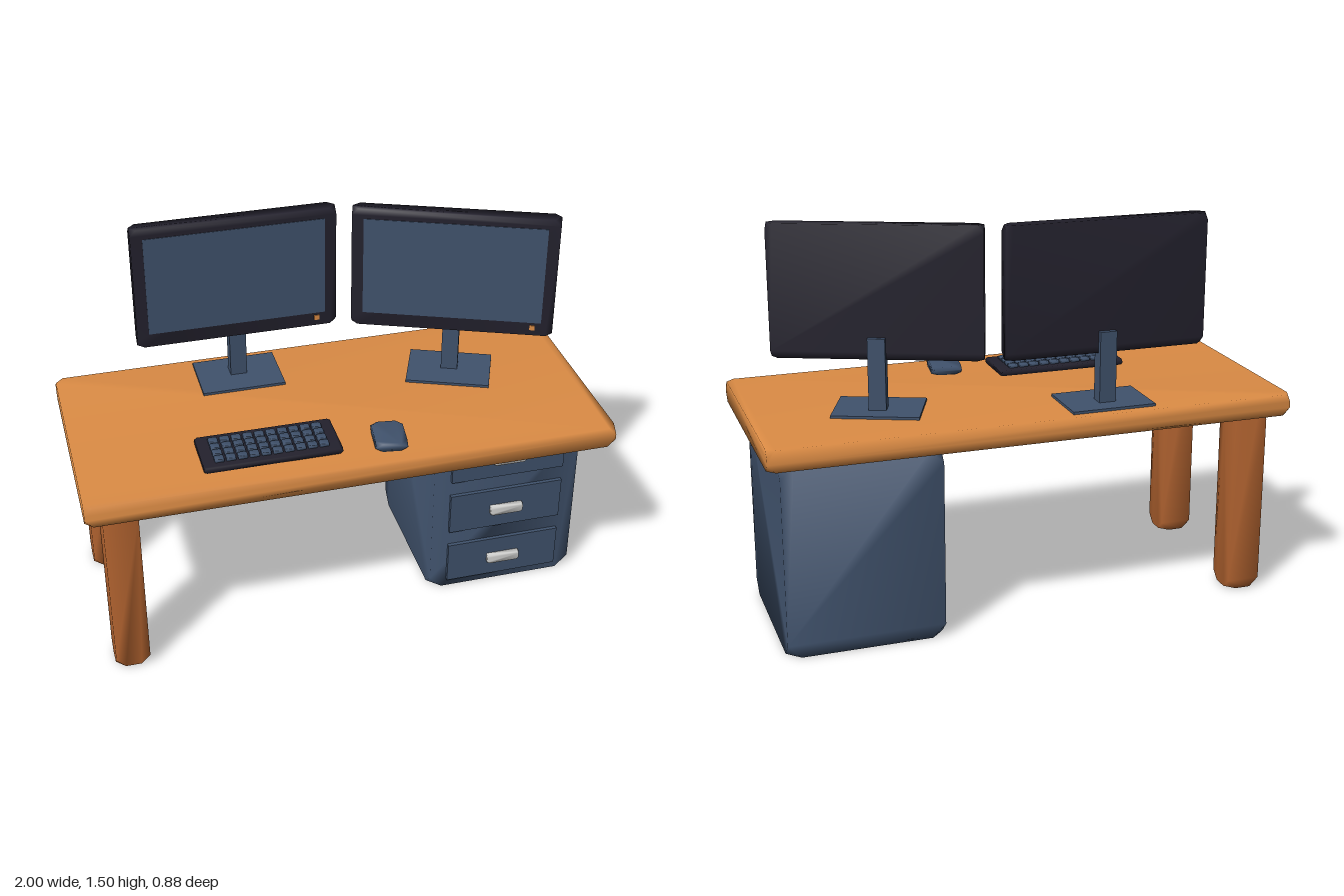
import * as THREE from 'three';

const material = (name, color) => {
  const m = new THREE.MeshStandardMaterial({ color });
  m.name = name;
  return m;
};

// Box with its eight corners cut off and smooth normals across all faces.
function cutBox(w, h, d, cut) {
  const half = [w / 2, h / 2, d / 2];
  const positions = [], index = [];
  const corner = (signs) => signs.reduce((k, s, i) => k + (s > 0 ? 1 << i : 0), 0);
  for (let k = 0; k < 8; k++) {
    const signs = [0, 1, 2].map((i) => ((k >> i) & 1 ? 1 : -1));
    for (let axis = 0; axis < 3; axis++) {
      positions.push(...signs.map((s, i) =>
        s * (half[i] - (i === axis ? Math.min(cut, half[i] * 0.9) : 0))));
    }
    // cut corner
    const [a, b, c] = [k * 3, k * 3 + 1, k * 3 + 2];
    index.push(...(signs[0] * signs[1] * signs[2] > 0 ? [a, b, c] : [a, c, b]));
  }
  // octagonal sides
  for (let axis = 0; axis < 3; axis++) {
    const u = (axis + 1) % 3, v = (axis + 2) % 3;
    for (const side of [1, -1]) {
      const ring = [];
      for (const [su, sv] of [[1, 1], [-1, 1], [-1, -1], [1, -1]]) {
        const signs = [];
        signs[axis] = side; signs[u] = su; signs[v] = sv;
        const k = corner(signs) * 3;
        ring.push(...(su === sv ? [k + v, k + u] : [k + u, k + v]));
      }
      if (side < 0) ring.reverse();
      for (let i = 1; i < 7; i++) index.push(ring[0], ring[i], ring[i + 1]);
    }
  }
  const g = new THREE.BufferGeometry();
  g.setAttribute('position', new THREE.Float32BufferAttribute(positions, 3));
  g.setIndex(index);
  g.computeVertexNormals();
  return g;
}

// Adds a box given its [min, max] range on each axis; cut = 0 keeps it sharp.
function addBox(parent, name, mat, x, y, z, cut = 0) {
  const size = [x, y, z].map(([a, b]) => b - a);
  const geometry = cut ? cutBox(...size, cut) : new THREE.BoxGeometry(...size);
  const mesh = new THREE.Mesh(geometry, mat);
  mesh.name = name;
  mesh.position.set((x[0] + x[1]) / 2, (y[0] + y[1]) / 2, (z[0] + z[1]) / 2);
  parent.add(mesh);
  return mesh;
}

const around = (centre, size) => [centre - size / 2, centre + size / 2];

function addGroup(parent, name, x, y, z, turn = 0) {
  const g = new THREE.Group();
  g.name = name;
  g.position.set(x, y, z);
  g.rotation.y = turn;
  parent.add(g);
  return g;
}

export function createModel() {
  const model = new THREE.Group();
  model.name = 'computerDesk';
  const wood = material('orangeWood', 0xdc8c45);
  const legWood = material('brownWood', 0xb0622f);
  const navy = material('navyBlue', 0x40526c);
  const dark = material('darkCasing', 0x23212d);
  const metal = material('paleMetal', 0xd2d2d0);

  // Table top and the two legs on the right
  addBox(model, 'tableTop', wood, [-1, 1], [0.73, 0.812], [-0.44, 0.44], 0.03);
  for (const side of [1, -1]) {
    addBox(model, side > 0 ? 'frontLeg' : 'backLeg', legWood,
      [-0.935, -0.805], [0.005, 0.735], around(side * 0.315, 0.13), 0.035);
  }

  // Cabinet with three drawers
  const cabinet = addGroup(model, 'drawerCabinet', 0, 0, 0);
  addBox(cabinet, 'cabinetBody', navy, [0.36, 0.952], [0, 0.732], [-0.4, 0.23], 0.05);
  for (const y of [0.125, 0.367, 0.608]) {
    addBox(cabinet, 'drawer', navy, [0.428, 0.888], around(y, 0.175), [0.215, 0.245]);
    addBox(cabinet, 'drawerHandle', metal, around(0.657, 0.13), around(y, 0.036), [0.24, 0.268], 0.008);
  }

  // Two monitors, the second turned inward
  const monitor = (name, x, z, turn) => {
    const g = addGroup(model, name, x, 0, z, turn);
    addBox(g, 'standBase', navy, around(0, 0.325), [0.81, 0.822], around(0, 0.235));
    addBox(g, 'standColumn', navy, around(0, 0.065), [0.815, 1.092], [-0.045, 0.01]);
    addBox(g, 'monitorCasing', dark, around(0, 0.78), [1.01, 1.505], [-0.026, 0.029], 0.025);
    addBox(g, 'screen', navy, around(0, 0.69), [1.065, 1.465], [0.026, 0.031]);
    addBox(g, 'powerButton', wood, around(0.312, 0.02), around(1.044, 0.02), [0.026, 0.033]);
  };
  monitor('rightMonitor', -0.294, -0.289, 0);
  monitor('leftMonitor', 0.522, -0.115, -0.39);

  // Keyboard with a grid of keys
  const keyboard = addGroup(model, 'keyboard', -0.294, 0.812, 0.236);
  addBox(keyboard, 'keyboardBody', dark, around(0, 0.516), [0, 0.021], around(0, 0.205), 0.01);
  for (let row = 0; row < 4; row++) {
    for (let col = 0; col < 10; col++) {
      addBox(keyboard, 'key', navy, around((col - 4.5) * 0.0435, 0.035),
        [0.018, 0.033], around((row - 1.5) * 0.039, 0.03), 0.006);
    }
  }

  // Mouse
  const mouse = addGroup(model, 'mouse', 0.15, 0.812, 0.298, -0.13);
  addBox(mouse, 'mouseBody', navy, around(0, 0.118), [0, 0.032], around(0, 0.152), 0.025);

  return model;
}
